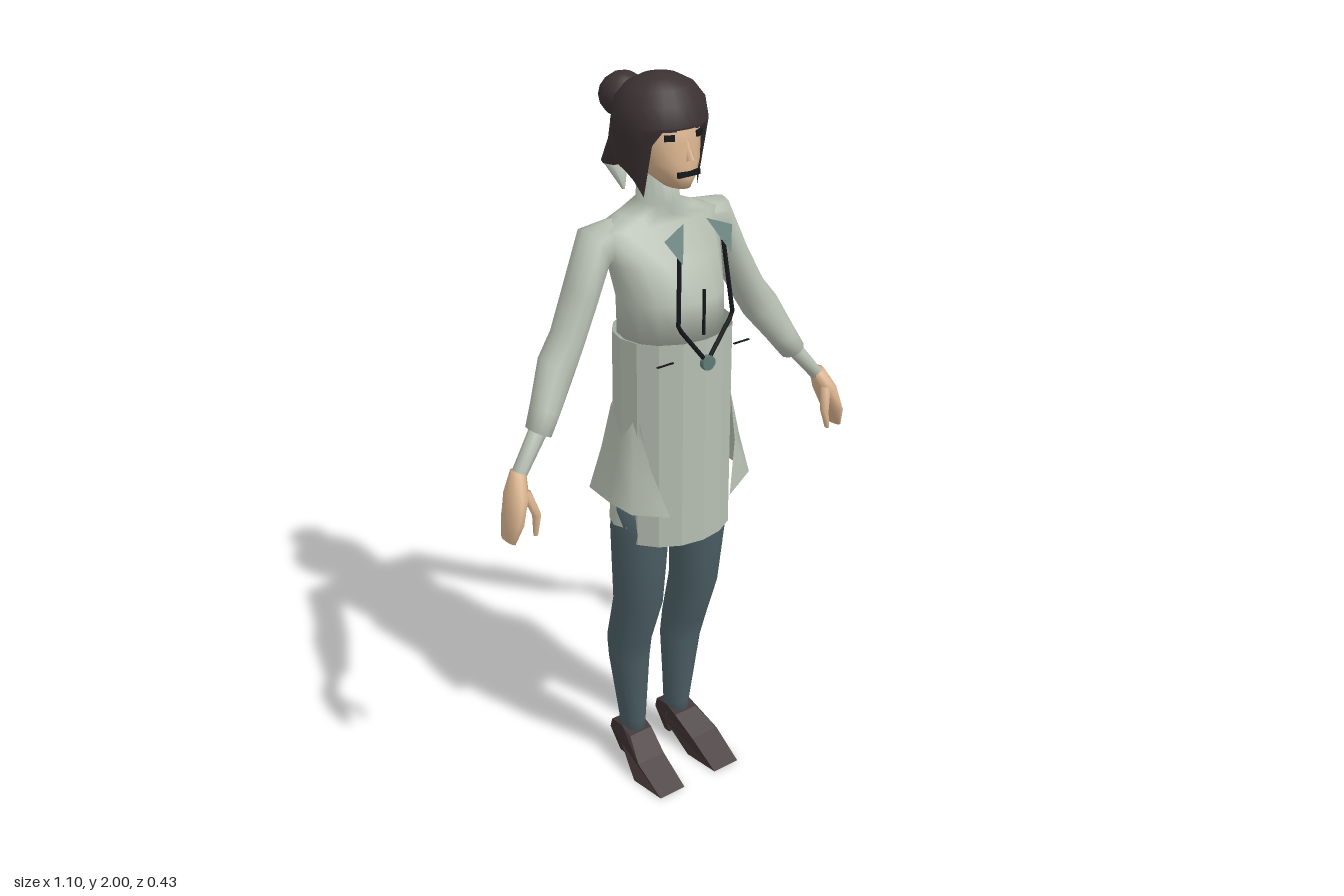
import * as THREE from 'three';

const V = (x, y, z) => new THREE.Vector3(x, y, z);
const mat = (name, color, side = THREE.FrontSide, flatShading = false) => {
  const m = new THREE.MeshStandardMaterial({ color, side, flatShading });
  m.name = name;
  return m;
};

// Skin over rows of points (top row first); closed rows wrap round, caps close the ends.
function skin(rows, closed = true, caps = true) {
  const n = rows[0].length, pts = rows.flat(), idx = [];
  for (let i = 0; i < rows.length - 1; i++) {
    for (let j = 0; j < (closed ? n : n - 1); j++) {
      const k = (j + 1) % n, a = i * n + j, b = i * n + k, c = a + n, d = b + n;
      idx.push(a, b, c, b, d, c);
    }
  }
  if (caps) {
    [0, rows.length - 1].forEach((r) => {
      const centre = V(0, 0, 0);
      rows[r].forEach((p) => centre.addScaledVector(p, 1 / n));
      const c = pts.push(centre) - 1;
      for (let j = 0; j < n; j++) {
        const a = r * n + j, b = r * n + (j + 1) % n;
        if (r === 0) idx.push(c, b, a); else idx.push(c, a, b);
      }
    });
  }
  const g = new THREE.BufferGeometry().setFromPoints(pts);
  g.setIndex(idx);
  g.computeVertexNormals();
  return g;
}

// Elliptical rings [x, y, z, rx, rz, tilt]; s = -1 mirrors to the right side.
function loft(rings, n = 12, s = 1, caps = true) {
  return skin(rings.map(([x, y, z, rx, rz, t = 0]) => Array.from({ length: n }, (_, j) => {
    const a = (j / n) * Math.PI * 2, u = Math.cos(a) * rx;
    return V(x * s + u * Math.cos(t), y + u * Math.sin(t) * s, z + Math.sin(a) * rz);
  })), true, caps);
}

export function createModel() {
  const model = new THREE.Group();
  model.name = 'woman';
  const D = THREE.DoubleSide;
  const cloth = mat('paleGreyGreen', 0xb6beb1, D);
  const clothFlat = cloth;
  const tights = mat('slateTights', 0x4b5e64);
  const hair = mat('darkBrownHair', 0x3b3133, D);
  const flesh = mat('skin', 0xd9b38e);
  const leather = mat('shoeBrown', 0x3d3132);
  const black = mat('black', 0x15181a, D);
  const teal = mat('dullTeal', 0x5f7a76, D);
  const add = (name, geo, m) => {
    const mesh = new THREE.Mesh(geo, m);
    mesh.name = name;
    model.add(mesh);
    return mesh;
  };

  // Upper body with high collar
  add('torso', loft([
    [0, 1.76, 0.002, 0.045, 0.055], [0, 1.685, 0.003, 0.052, 0.062],
    [0, 1.66, -0.002, 0.11, 0.066], [0, 1.635, -0.002, 0.19, 0.066],
    [0, 1.55, 0.03, 0.163, 0.1], [0, 1.46, 0.054, 0.147, 0.124], [0, 1.36, 0.056, 0.145, 0.126],
  ], 16), cloth);

  // Straight faceted tunic, open at both ends
  const tunic = loft([[0, 1.37, 0.065, 0.166, 0.135], [0, 0.795, 0.065, 0.166, 0.135]], 16, 1, false).toNonIndexed();
  tunic.computeVertexNormals();
  add('tunic', tunic, clothFlat);

  // Flared jacket tail, open at the front: half sections from back to front edge
  const tail = [
    [1.16, [0, -0.055], [0.1, -0.045], [0.15, 0.0], [0.155, 0.06], [0.155, 0.1], [0.15, 0.12]],
    [1.03, [0, -0.082], [0.11, -0.075], [0.165, -0.025], [0.178, 0.06], [0.175, 0.13], [0.14, 0.155]],
    [0.915, [0, -0.086], [0.13, -0.082], [0.195, -0.04], [0.203, 0.06], [0.197, 0.15], [0.1, 0.186]],
  ].map(([y, ...half]) => [
    ...half.slice(1).reverse().map(([x, z]) => V(-x, y - (x < 0.145 && z > 0.16 ? 0.025 : 0), z)),
    ...half.map(([x, z]) => V(x, y - (x < 0.145 && z > 0.16 ? 0.025 : 0), z)),
  ]);
  add('jacketTail', skin(tail, false, false), cloth);
  add('shorts', loft([[0, 0.96, 0.052, 0.172, 0.115], [0, 0.84, 0.055, 0.186, 0.1]], 16, 1, false), cloth);

  // Head and face
  add('head', loft([
    [0, 1.95, 0.02, 0.06, 0.06], [0, 1.9, 0.027, 0.086, 0.085], [0, 1.85, 0.033, 0.086, 0.086],
    [0, 1.8, 0.04, 0.075, 0.086], [0, 1.765, 0.052, 0.055, 0.078], [0, 1.738, 0.075, 0.028, 0.045],
  ], 16), flesh);
  const nose = add('nose', new THREE.ConeGeometry(0.014, 0.05, 4), flesh);
  nose.position.set(0, 1.835, 0.126);
  nose.rotation.x = -0.25;
  add('mouth', new THREE.BoxGeometry(0.066, 0.013, 0.009), black).position.set(0, 1.777, 0.125);

  // Hair cap whose rim dips to side locks and rises to a fringe; heights per 15 degrees, front to back
  const rim = [1.885, 1.885, 1.89, 1.85, 1.715, 1.755, 1.775, 1.78, 1.78, 1.79, 1.8, 1.81, 1.815];
  const rows = [];
  for (let i = 0; i <= 8; i++) {
    rows.push(Array.from({ length: 24 }, (_, j) => {
      const a = (j / 24) * Math.PI * 2, off = Math.abs(((j - 6 + 36) % 24) - 12);
      const low = rim[off];
      const y = i < 5 ? 2 - 0.11 * (i / 4) ** 2 : 1.89 + (low - 1.89) * ((i - 4) / 4);
      const r = i === 0 ? 0.02 : y >= 1.89 ? Math.sqrt(1 - ((y - 1.89) / 0.11) ** 2.4) : 1 - (1.89 - y) * 1.25;
      return V(Math.cos(a) * 0.122 * r, y, 0.01 + Math.sin(a) * 0.115 * r);
    }));
  }
  const cap = skin(rows, true, false);
  add('hairCap', cap, hair);
  add('crown', loft([[0, 2, 0.01, 0.003, 0.003], [0, 1.998, 0.01, 0.012, 0.012]], 8), hair);
  const bun = add('hairBun', new THREE.SphereGeometry(0.058, 10, 8), hair);
  bun.position.set(0, 1.915, -0.138);
  bun.scale.x = 1.1;
  add('ponytail', loft([
    [0, 1.88, -0.14, 0.025, 0.03], [0, 1.8, -0.148, 0.032, 0.034], [0, 1.735, -0.175, 0.036, 0.037],
  ], 8), hair);
  add('ponytailTip', loft([[0, 1.735, -0.175, 0.033, 0.035], [0, 1.67, -0.14, 0.004, 0.004]], 8), cloth);

  // Pendant in front of the chest
  const pendant = add('pendant', new THREE.CylinderGeometry(0.02, 0.02, 0.014, 10), teal);
  pendant.position.set(0, 1.31, 0.207);
  pendant.rotation.x = Math.PI / 2;
  add('frontSeam', new THREE.BoxGeometry(0.006, 0.12, 0.006), black).position.set(0, 1.44, 0.19);

  for (const s of [1, -1]) {
    const side = s > 0 ? 'left' : 'right';

    // Sleeve, wrist and hand
    add(side + 'Sleeve', loft([
      [0.12, 1.61, -0.01, 0.045, 0.05, 1.35], [0.19, 1.592, -0.008, 0.06, 0.058, 1.08],
      [0.242, 1.48, 0.002, 0.046, 0.056, 0.7], [0.29, 1.385, 0.014, 0.045, 0.051, 0.62],
      [0.33, 1.325, 0.022, 0.052, 0.046, 0.58], [0.385, 1.235, 0.05, 0.04, 0.04, 0.5],
      [0.415, 1.187, 0.063, 0.035, 0.035, 0.5],
    ], 12, s), cloth);
    add(side + 'Wrist', loft([
      [0.41, 1.2, 0.063, 0.024, 0.024, 0.5], [0.495, 1.095, 0.085, 0.019, 0.02, 0.5],
    ], 8, s), cloth);
    add(side + 'Hand', loft([
      [0.492, 1.11, 0.085, 0.02, 0.022, 0.4], [0.51, 1.06, 0.1, 0.027, 0.042, 0.2],
      [0.53, 1.0, 0.11, 0.021, 0.044, 0.2], [0.543, 0.945, 0.107, 0.009, 0.03, 0.1],
    ], 10, s), flesh);
    add(side + 'Thumb', loft([
      [0.495, 1.07, 0.12, 0.014, 0.016], [0.478, 1.01, 0.138, 0.012, 0.013], [0.486, 0.957, 0.143, 0.006, 0.007],
    ], 6, s), flesh);

    // Leg
    add(side + 'Leg', loft([
      [0.097, 0.92, 0.06, 0.08, 0.07], [0.1, 0.82, 0.057, 0.083, 0.078], [0.096, 0.57, 0.04, 0.068, 0.071],
      [0.097, 0.43, 0.0, 0.063, 0.064], [0.091, 0.36, -0.01, 0.058, 0.059],
      [0.08, 0.14, -0.012, 0.036, 0.042], [0.08, 0.08, -0.015, 0.034, 0.038],
    ], 14, s), tights);

    // High-heeled shoe: side profile, widened towards the toe
    const profile = [[0.2, 0], [0.1, 0.058], [0.03, 0.105], [-0.01, 0.12], [-0.058, 0.115], [-0.066, 0.085],
      [-0.05, 0], [-0.028, 0], [-0.015, 0.058], [0.09, 0]].map((p) => new THREE.Vector2(...p));
    const shoe = new THREE.ExtrudeGeometry(new THREE.Shape(profile), { depth: 1, bevelEnabled: false });
    shoe.translate(0, 0, -0.5).rotateY(-Math.PI / 2);
    const p = shoe.attributes.position;
    for (let i = 0; i < p.count; i++) {
      const y = p.getY(i), z = p.getZ(i);
      const width = z > 0.15 ? 0.085 : z > 0.05 ? 0.108 - y * 0.3 : y < 0.01 ? 0.03 : 0.076;
      p.setX(i, p.getX(i) * width + s * (z > 0.05 ? 0.098 : 0.082));
    }
    shoe.computeVertexNormals();
    add(side + 'Shoe', shoe, leather);

    // Eye and brow
    const eye = add(side + 'Eye', new THREE.BoxGeometry(0.026, 0.014, 0.008), black);
    eye.position.set(s * 0.045, 1.866, 0.107);
    eye.rotation.y = s * 0.5;
    const brow = add(side + 'Brow', new THREE.BoxGeometry(0.036, 0.006, 0.008), hair);
    brow.position.set(s * 0.045, 1.884, 0.106);
    brow.rotation.y = s * 0.5;

    // Cord, collar tab and thin side pin
    const path = new THREE.CurvePath();
    const pts = [V(s * 0.068, 1.61, 0.178), V(s * 0.086, 1.42, 0.198), V(0, 1.31, 0.205)];
    path.add(new THREE.LineCurve3(pts[0], pts[1]));
    path.add(new THREE.LineCurve3(pts[1], pts[2]));
    add(side + 'Cord', new THREE.TubeGeometry(path, 16, 0.006, 5), black);
    const tab = new THREE.BufferGeometry().setFromPoints(
      [V(s * 0.105, 1.638, 0.165), V(s * 0.035, 1.665, 0.15), V(s * 0.075, 1.582, 0.2)]);
    tab.setIndex(s > 0 ? [0, 1, 2] : [0, 2, 1]);
    tab.computeVertexNormals();
    add(side + 'CollarTab', tab, teal);
    add(side + 'Pin', new THREE.BoxGeometry(0.05, 0.003, 0.005), black).position.set(s * 0.122, 1.33, 0.192);
  }
  return model;
}
